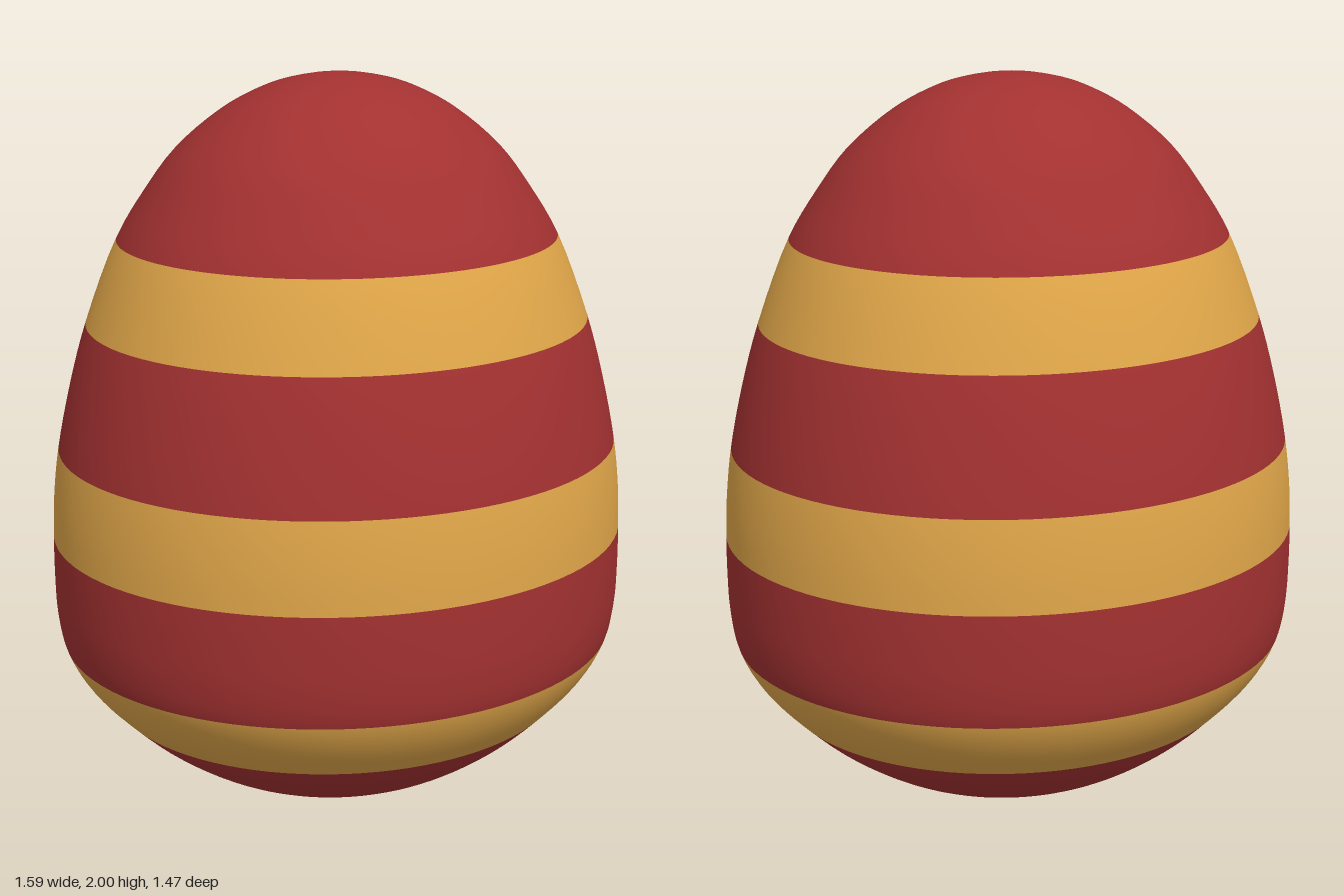
import * as THREE from 'three';

export function createModel() {
  const red = new THREE.MeshStandardMaterial({ color: 0xa33131 });
  red.name = 'red';
  const gold = new THREE.MeshStandardMaterial({ color: 0xe0a649 });
  gold.name = 'gold';

  // Half profile from bottom to top: radius, height
  const profile = [
    [0, 0], [0.13, 0.01], [0.292, 0.05], [0.41, 0.1], [0.54, 0.185], [0.638, 0.273],
    [0.725, 0.37], [0.772, 0.458], [0.789, 0.55], [0.793, 0.65], [0.792, 0.765],
    [0.786, 0.88], [0.77, 1.007], [0.733, 1.18], [0.685, 1.347], [0.597, 1.57],
    [0.523, 1.69], [0.439, 1.8], [0.319, 1.9], [0.229, 1.95], [0.146, 1.98], [0, 2],
  ];
  // Profile points where the stripe colour changes
  const edges = [0, 5, 7, 10, 12, 14, 15, profile.length - 1];

  // Mirrored end points keep both poles rounded
  const [, low] = profile;
  const high = profile[profile.length - 2];
  const curve = new THREE.CatmullRomCurve3(
    [[-low[0], low[1]], ...profile, [-high[0], high[1]]].map(([r, y]) => new THREE.Vector3(r, y, 0)));
  const steps = 4, spans = profile.length - 1, rows = spans * steps, sides = 96;
  const points = [];
  for (let i = 0; i <= rows; i++) {
    const p = curve.getPoint((1 + i / steps) / (spans + 2));
    points.push(new THREE.Vector2(i === 0 || i === rows ? 0 : Math.max(p.x, 0), p.y));
  }

  // One smooth, slightly oval shell shared by all stripes
  const shell = new THREE.LatheGeometry(points, sides);
  shell.scale(1, 1, 0.928);

  // Regroup the faces by stripe, alternating the two colours
  const source = shell.index.array, sorted = [];
  for (let b = 0; b < edges.length - 1; b++) {
    const start = sorted.length;
    for (let s = 0; s < sides; s++) {
      for (let j = edges[b] * steps; j < edges[b + 1] * steps; j++) {
        const at = (s * rows + j) * 6;
        sorted.push(...source.slice(at, at + 6));
      }
    }
    shell.addGroup(start, sorted.length - start, b % 2);
  }
  shell.setIndex(sorted);

  const egg = new THREE.Mesh(shell, [red, gold]);
  egg.name = 'stripedEggShell';
  const group = new THREE.Group();
  group.name = 'stripedEgg';
  group.add(egg);
  return group;
}
